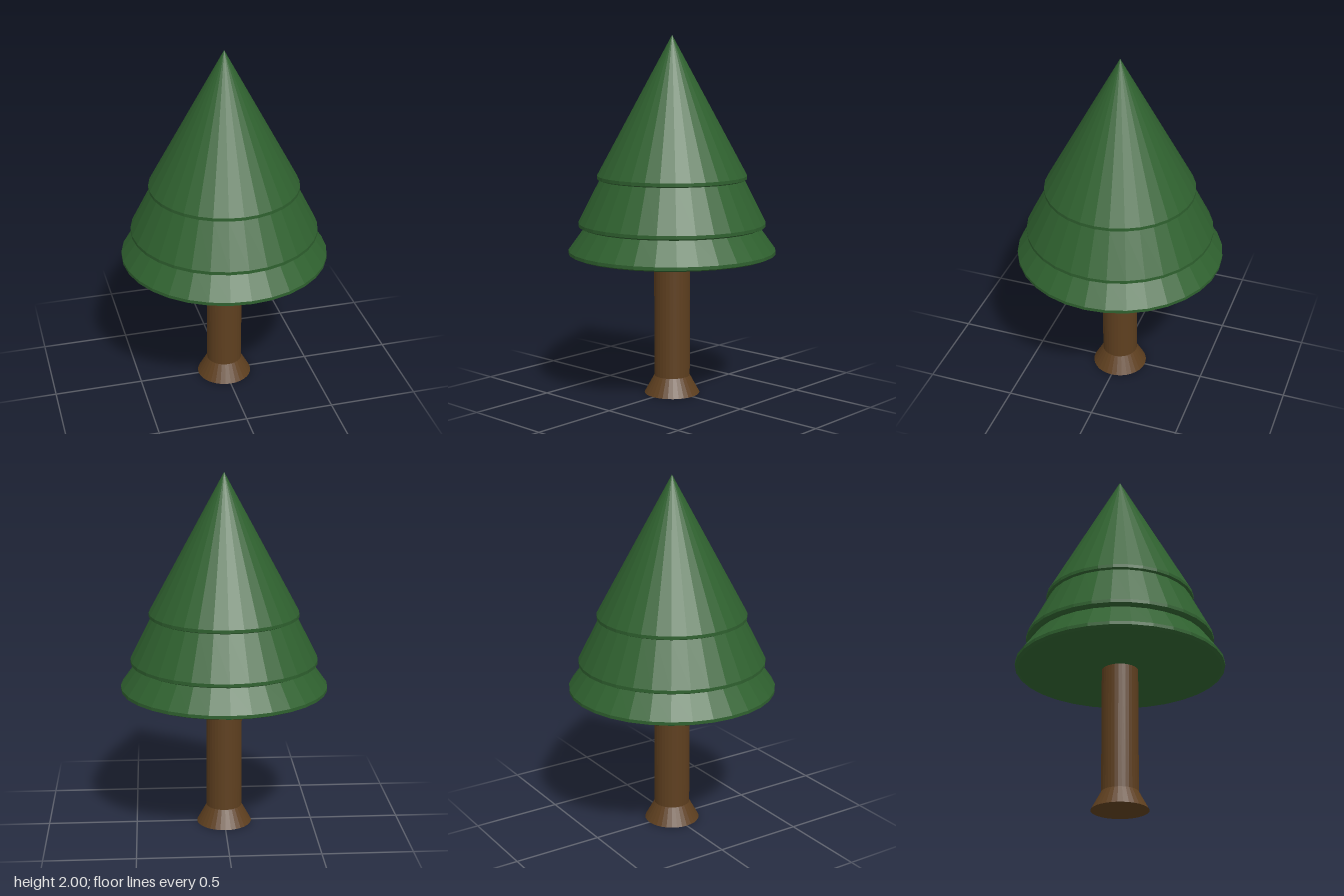
import * as THREE from 'three';

const SIDES = 32;

// Faceted solid of revolution from [radius, y] pairs, listed bottom to top
function turned(name, color, profile) {
  const points = profile.map(([r, y]) => new THREE.Vector2(r, y));
  const material = new THREE.MeshStandardMaterial({ color, flatShading: true });
  const mesh = new THREE.Mesh(new THREE.LatheGeometry(points, SIDES), material);
  mesh.name = name;
  return mesh;
}

export function createModel() {
  const tree = new THREE.Group();
  tree.name = 'pineTree';
  const green = 0x2f612f;
  const brown = 0x5e3f1f;

  // Trunk with a flared root
  tree.add(turned('trunk', brown, [[0, 0], [0.155, 0], [0.1, 0.1], [0.1, 0.8]]));

  // Foliage tiers: rim radius, underside height, top radius, top height
  const tiers = [
    ['lowerFoliage', 0.576, 0.793, 0.482, 0.95],
    ['middleFoliage', 0.52, 0.946, 0.4, 1.21],
    ['upperFoliage', 0.415, 1.206, 0, 2],
  ];
  for (const [name, rim, bottom, topRadius, top] of tiers) {
    tree.add(turned(name, green, [
      [0, bottom], [rim - 0.02, bottom], [rim, bottom + 0.009],
      [rim, bottom + 0.027], [topRadius, top],
    ]));
  }
  return tree;
}
